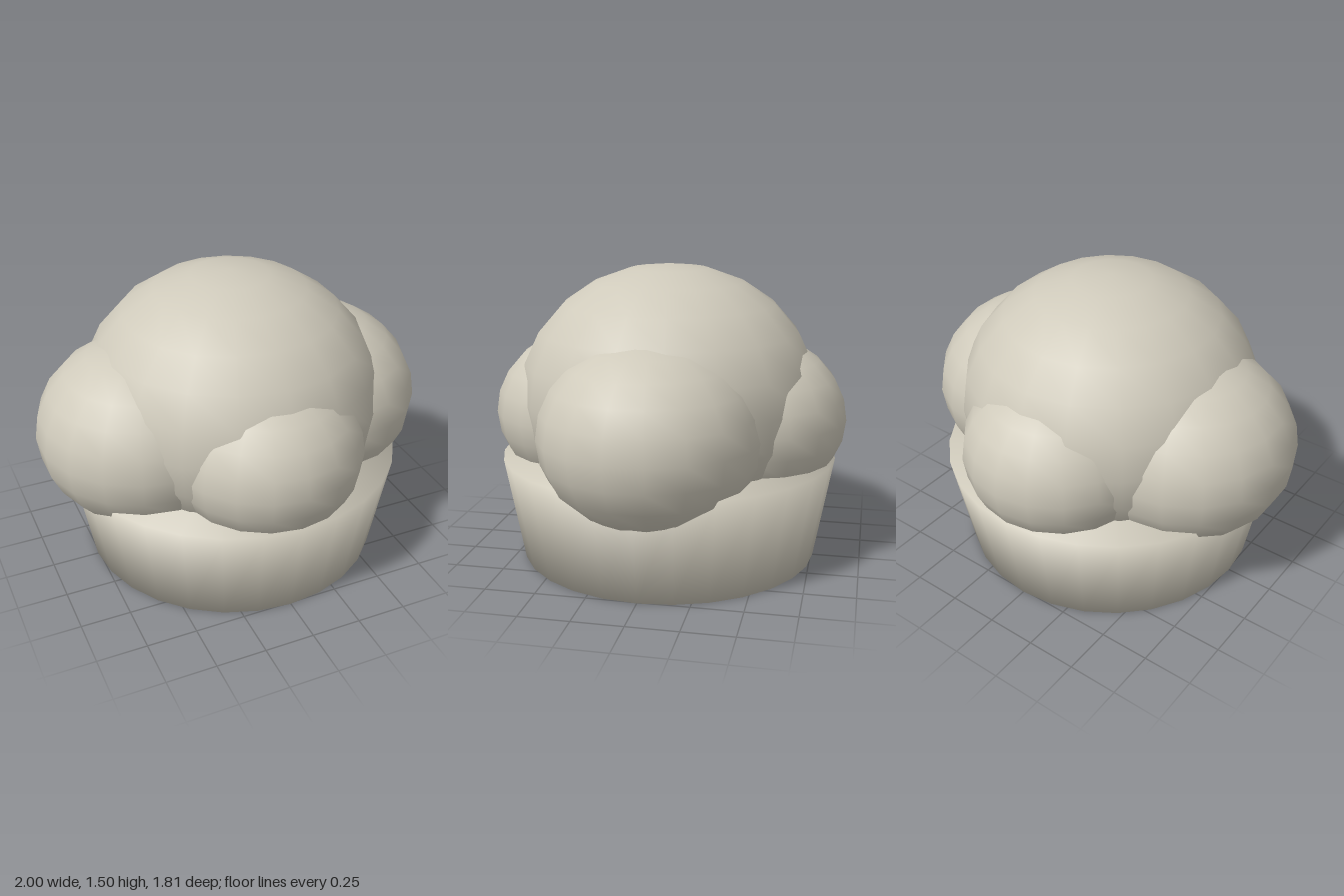
import * as THREE from 'three';

const stone = new THREE.MeshStandardMaterial({ color: 0xcfcabb });
stone.name = 'warm stone';

// Slightly squashed ball with a vertex facing the front and back
function ball(name, radius, x, y, z) {
  const geometry = new THREE.SphereGeometry(radius, 18, 12);
  geometry.rotateY(Math.PI / 2);
  geometry.scale(1, 0.875, 1);
  const mesh = new THREE.Mesh(geometry, stone);
  mesh.name = name;
  mesh.position.set(x, y, z);
  return mesh;
}

// Flared tub whose normals blend softly over both rims
function tub(bottom, top, height) {
  const geometry = new THREE.CylinderGeometry(top, bottom, height, 28, 1);
  const { position, normal } = geometry.attributes;
  for (let i = 0; i < position.count; i++) {
    const up = position.getY(i) > 0;
    const radius = up ? top : bottom;
    const tilt = THREE.MathUtils.degToRad(up ? 50 : 40); // angle from the vertical
    const spread = Math.sin(tilt) / radius;
    normal.setXYZ(i, position.getX(i) * spread, (up ? 1 : -1) * Math.cos(tilt), position.getZ(i) * spread);
  }
  geometry.translate(0, height / 2, 0);
  const mesh = new THREE.Mesh(geometry, stone);
  mesh.name = 'base';
  return mesh;
}

export function createModel() {
  const group = new THREE.Group();
  group.name = 'domedMound';
  group.add(tub(0.76, 0.857, 0.53));
  group.add(ball('mainDome', 0.76, 0, 0.83, 0));

  // Mirrored pairs of lobes around the dome
  for (const s of [1, -1]) {
    group.add(ball(s > 0 ? 'leftLobe' : 'rightLobe', 0.54, s * 0.468, 0.73, 0));
    group.add(ball(s > 0 ? 'frontLobe' : 'backLobe', 0.485, 0, 0.73, s * 0.42));
  }
  return group;
}
